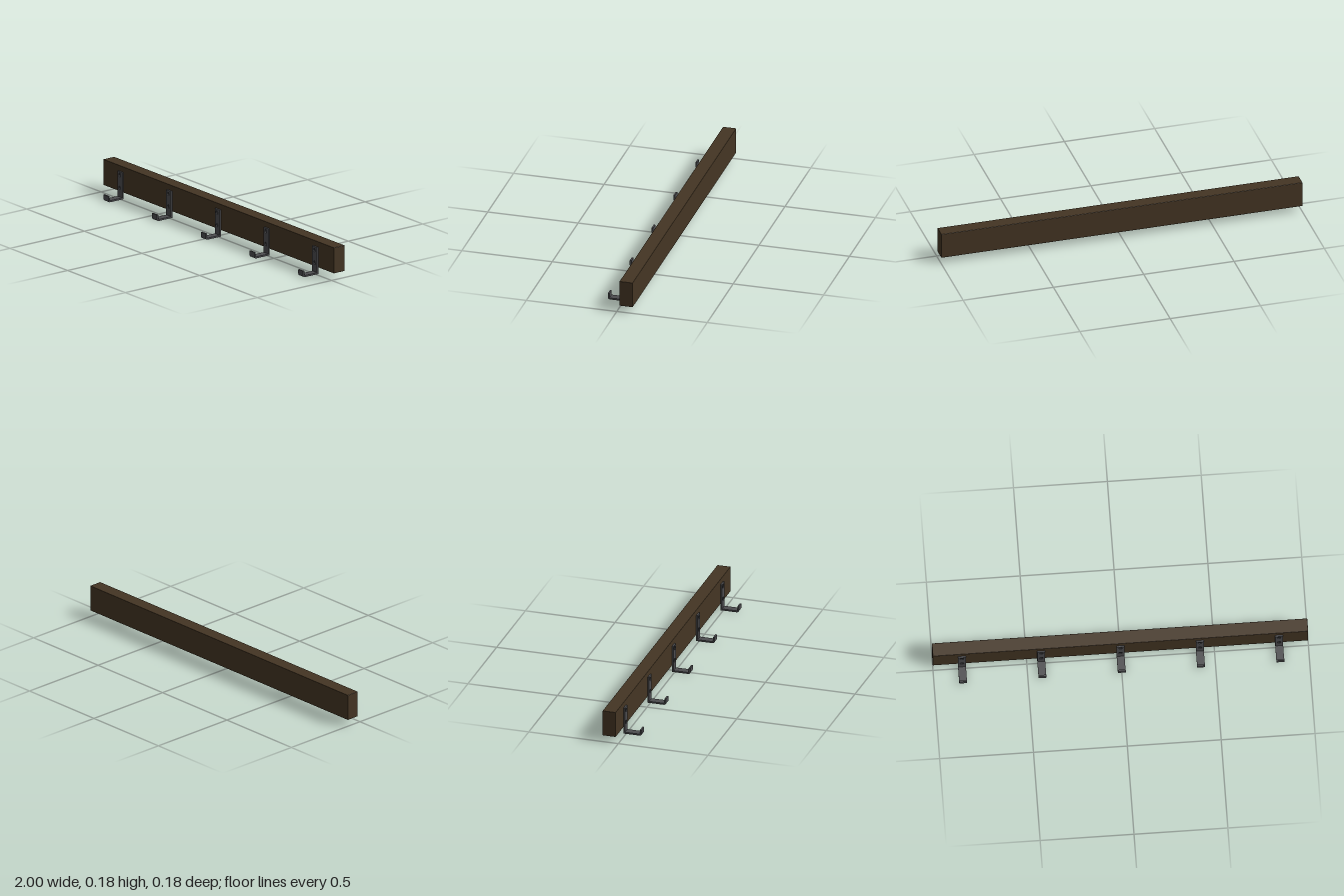
import * as THREE from 'three';
import { RoundedBoxGeometry } from 'three/addons/geometries/RoundedBoxGeometry.js';

const WIDTH = 0.042;            // hook strap width
const T = 0.009;                // strap thickness
const BOARD_FRONT = -0.015;
const SCREW_HEIGHTS = [0.131, 0.06];

// Upright strap, with two screw holes
function plateGeometry() {
  const h = WIDTH / 2;
  const s = new THREE.Shape();
  s.moveTo(-h, 0).lineTo(h, 0).lineTo(h, 0.149).lineTo(-h, 0.149).closePath();
  for (const y of SCREW_HEIGHTS) {
    const hole = new THREE.Path();
    hole.absarc(0, y, 0.0105, 0, Math.PI * 2, true);
    s.holes.push(hole);
  }
  const g = new THREE.ExtrudeGeometry(s, { depth: T, bevelEnabled: false, curveSegments: 10 });
  return g.translate(0, 0, BOARD_FRONT);
}

// Arm and upturned lip, drawn as a side profile (z, y) and extruded across x
function armGeometry() {
  const back = BOARD_FRONT + T, tip = 0.088, r = 0.013, ri = r - T;
  const s = new THREE.Shape();
  s.moveTo(back, 0);
  s.lineTo(tip - r, 0);
  s.absarc(tip - r, r, r, -Math.PI / 2, 0, false);
  s.lineTo(tip, 0.035);
  s.lineTo(tip - T, 0.035);
  s.lineTo(tip - T, r);
  s.absarc(tip - r, r, ri, 0, -Math.PI / 2, true);
  s.lineTo(back, T);
  s.closePath();
  const g = new THREE.ExtrudeGeometry(s, { depth: WIDTH, bevelEnabled: false, curveSegments: 6 });
  return g.rotateY(-Math.PI / 2).translate(WIDTH / 2, 0, 0);
}

export function createModel() {
  const model = new THREE.Group();
  model.name = 'coatRack';
  const wood = new THREE.MeshStandardMaterial({ color: 0x443523 });
  wood.name = 'darkWood';
  const metal = new THREE.MeshStandardMaterial({ color: 0x4c4c4f });
  metal.name = 'darkMetal';
  const screwMetal = new THREE.MeshStandardMaterial({ color: 0x303033 });
  screwMetal.name = 'screwMetal';

  const add = (parent, name, geometry, material) => {
    const mesh = new THREE.Mesh(geometry, material);
    mesh.name = name;
    parent.add(mesh);
    return mesh;
  };

  // Wooden backboard with slightly eased edges
  const board = add(model, 'backboard', new RoundedBoxGeometry(2, 0.143, 0.073, 2, 0.002), wood);
  board.position.set(0, 0.1075, BOARD_FRONT - 0.0365);

  // Five evenly spaced hooks
  const plate = plateGeometry();
  const arm = armGeometry();
  const head = new THREE.CylinderGeometry(0.0095, 0.0095, 0.006, 16).rotateX(Math.PI / 2);
  for (let i = -2; i <= 2; i++) {
    const hook = new THREE.Group();
    hook.name = 'hook';
    hook.position.x = i * 0.4225;
    add(hook, 'hookPlate', plate, metal);
    add(hook, 'hookArm', arm, metal);
    // Screw heads sunk into the strap
    for (const y of SCREW_HEIGHTS) {
      add(hook, 'screwHead', head, screwMetal).position.set(0, y, BOARD_FRONT + 0.003);
    }
    model.add(hook);
  }
  return model;
}
